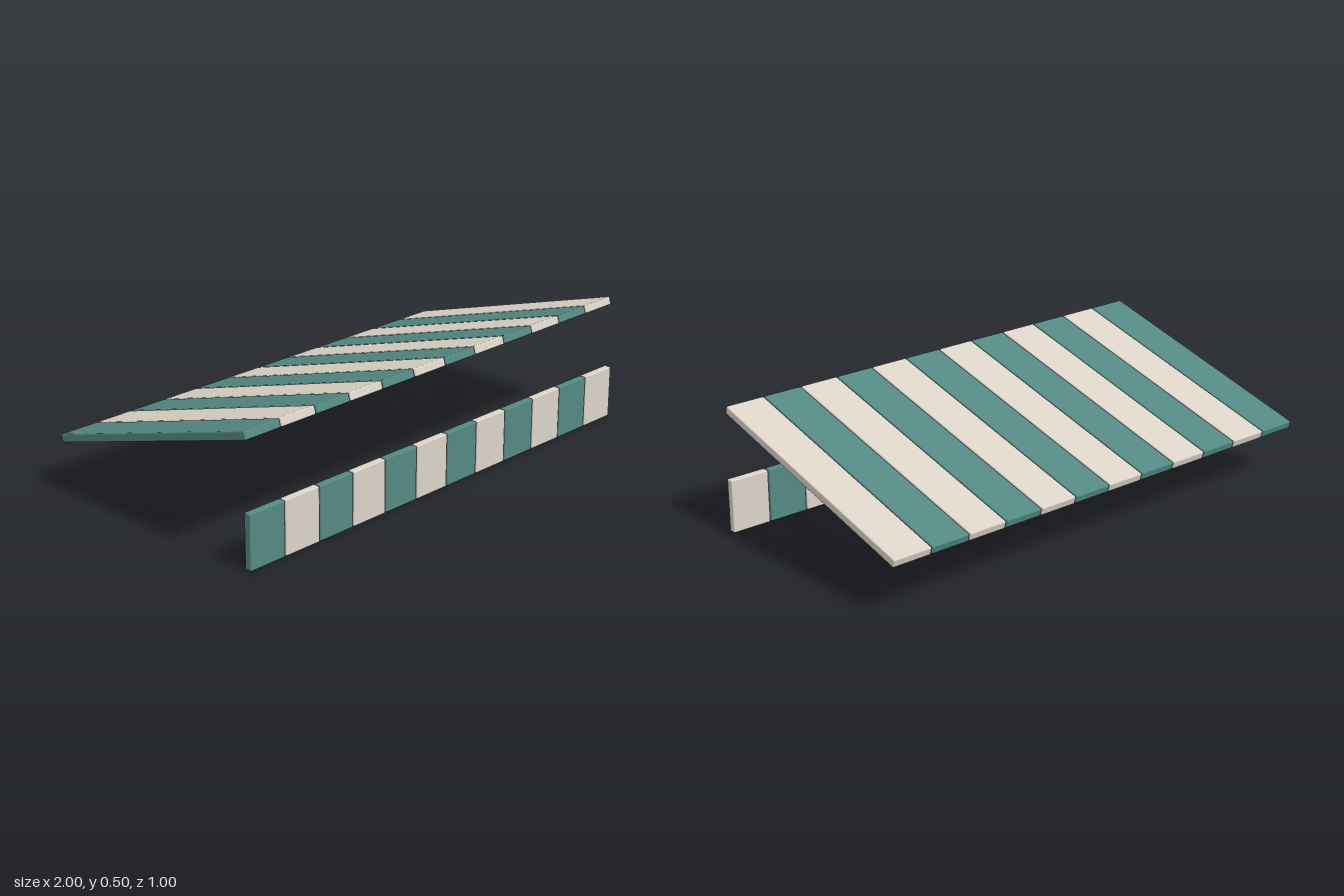
import * as THREE from 'three';
import { RoundedBoxGeometry } from 'three/addons/geometries/RoundedBoxGeometry.js';

const STRIPES = 12;
const WIDTH = 0.163;
const PITCH = (2 - WIDTH) / (STRIPES - 1);

export function createModel() {
  const teal = new THREE.MeshStandardMaterial({ color: 0x548983 });
  teal.name = 'teal canvas';
  const cream = new THREE.MeshStandardMaterial({ color: 0xdcd4c8 });
  cream.name = 'cream canvas';

  // A row of alternating panels with slightly softened edges
  function stripedRow(name, panelName, height, depth) {
    const row = new THREE.Group();
    row.name = name;
    const geometry = new RoundedBoxGeometry(WIDTH, height, depth, 2, 0.005);
    for (let i = 0; i < STRIPES; i++) {
      const panel = new THREE.Mesh(geometry, i % 2 ? cream : teal);
      panel.name = panelName + (i + 1);
      panel.position.x = -1 + WIDTH / 2 + i * PITCH;
      row.add(panel);
    }
    return row;
  }

  const model = new THREE.Group();
  model.name = 'awning';

  // Sloping canopy, high at the front and low at the back
  const canopy = stripedRow('canopy', 'canopyStripe', 0.032, 1.018);
  canopy.position.set(0, 0.346, -0.007);
  canopy.rotation.x = -0.28;

  // Upright valance along the front edge
  const valance = stripedRow('valance', 'valancePanel', 0.21, 0.03);
  valance.position.set(0, 0.105, 0.485);

  model.add(canopy, valance);
  return model;
}
